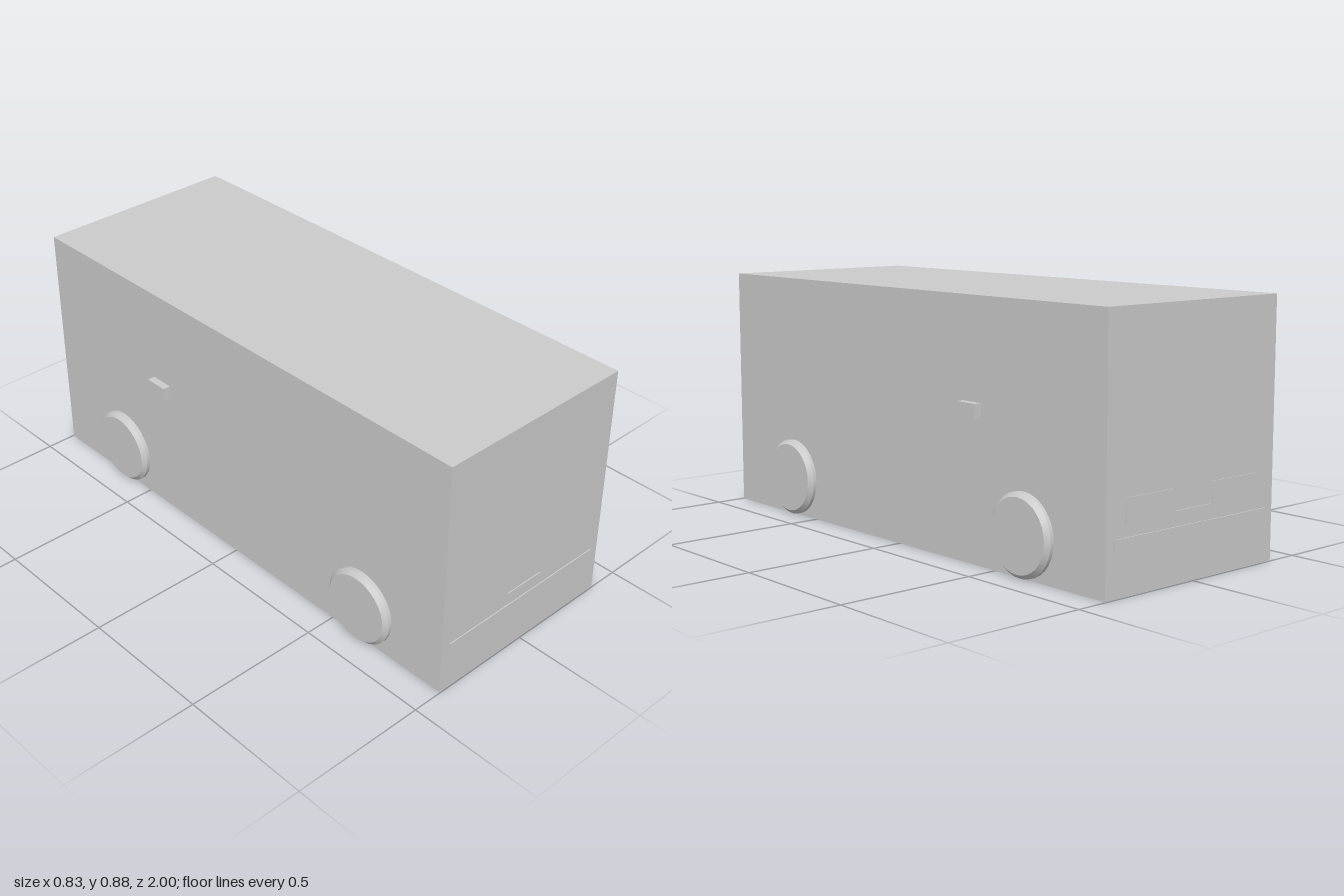
import * as THREE from 'three';

const grey = new THREE.MeshStandardMaterial({ color: 0xcccccc });

// Box given by its limits along each axis
function block(name, [x0, x1], [y0, y1], [z0, z1]) {
  const mesh = new THREE.Mesh(new THREE.BoxGeometry(x1 - x0, y1 - y0, z1 - z0), grey);
  mesh.position.set((x0 + x1) / 2, (y0 + y1) / 2, (z0 + z1) / 2);
  mesh.name = name;
  return mesh;
}

// Wheel with a chamfered outer rim; its axis is local y, separate bands keep the edges sharp
function wheel(name) {
  const group = new THREE.Group();
  group.name = name;
  const profile = [[0, 0], [0.14, 0], [0.14, 0.112], [0.125, 0.127], [0, 0.127]];
  for (let i = 0; i < profile.length - 1; i++) {
    const band = profile.slice(i, i + 2).map(([r, h]) => new THREE.Vector2(r, h));
    const mesh = new THREE.Mesh(new THREE.LatheGeometry(band, 32), grey);
    mesh.name = ['innerFace', 'tread', 'chamfer', 'hubFace'][i];
    group.add(mesh);
  }
  return group;
}

export function createModel() {
  const model = new THREE.Group();
  model.name = 'van';

  model.add(block('body', [-0.387, 0.387], [0, 0.885], [-0.996, 0.996]));

  // Bumper and number plate at each end
  for (const [end, z] of [['front', [0.98, 1]], ['rear', [-1, -0.98]]]) {
    model.add(block(end + 'Bumper', [-0.352, 0.352], [0.15, 0.185], z));
    model.add(block(end + 'Plate', [-0.081, 0.081], [0.2, 0.236], z));
  }

  for (const side of [1, -1]) {
    const label = side > 0 ? 'left' : 'right';
    const span = (a, b) => (side > 0 ? [a, b] : [-b, -a]);

    // Side block and tail light
    model.add(block(label + 'Handle', span(0.36, 0.415), [0.49, 0.539], [-0.43, -0.342]));
    model.add(block(label + 'TailLight', span(0.09, 0.303), [0.227, 0.308], [-0.999, -0.98]));

    // Wheels
    for (const [end, z] of [['Front', 0.637], ['Rear', -0.633]]) {
      const w = wheel(label + end + 'Wheel');
      w.rotation.z = -side * Math.PI / 2;
      w.position.set(side * 0.288, 0.142, z);
      model.add(w);
    }
  }
  return model;
}
